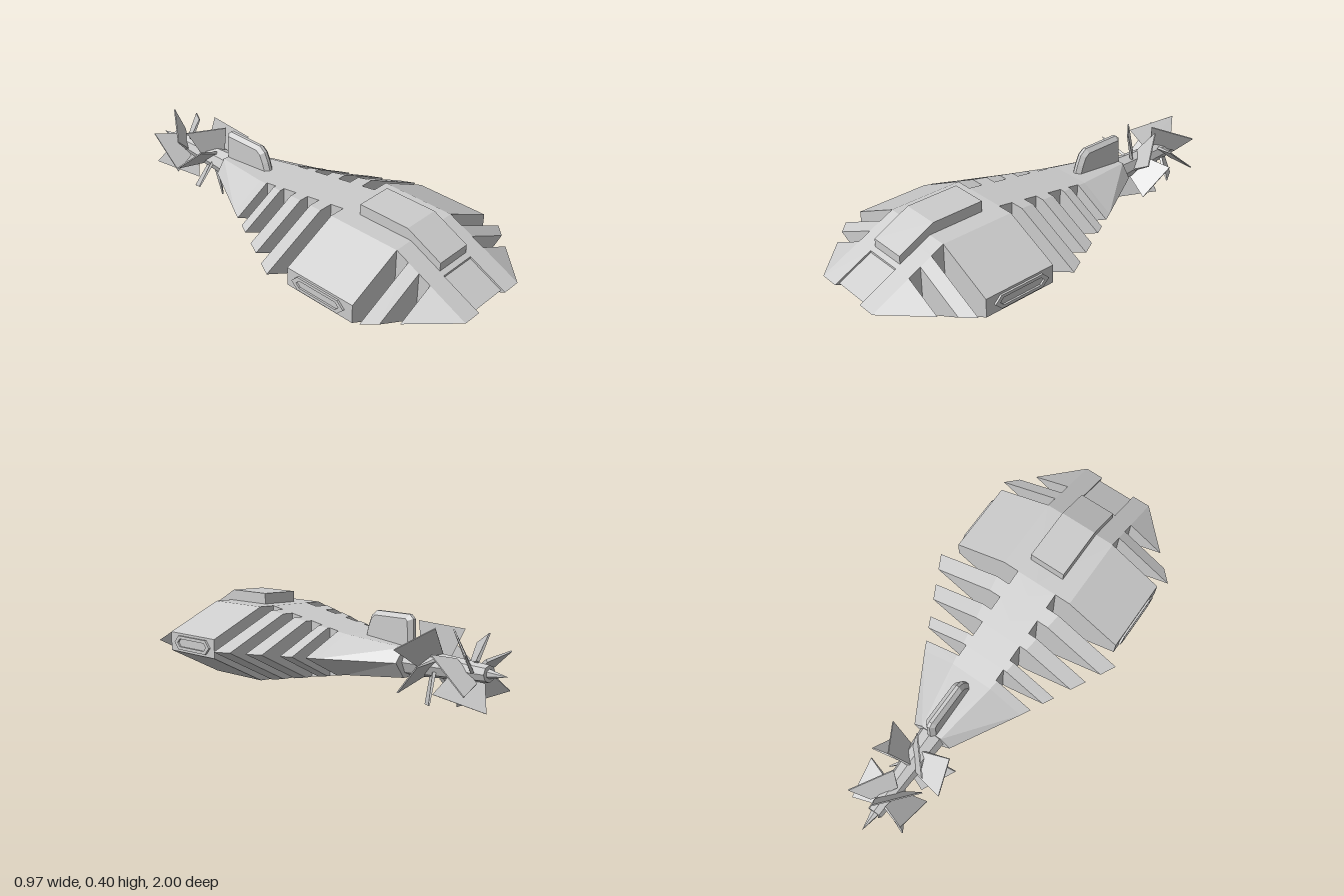
import * as THREE from 'three';
import { toCreasedNormals } from 'three/addons/utils/BufferGeometryUtils.js';

const MID = 0.175;
const material = new THREE.MeshStandardMaterial({ color: 0xcccccc, flatShading: true, side: THREE.DoubleSide });
const smoothMaterial = new THREE.MeshStandardMaterial({ color: 0xcccccc, side: THREE.DoubleSide });

// Hull stations: z, half width at the chine, half width of the flat deck, deck height, keel height
const STATIONS = [
  [-0.5, 0.095, 0.05, 0.235, 0.11],
  [-0.2, 0.262, 0.1, 0.265, 0.087],
  [0.3, 0.52, 0.175, 0.345, 0.003],
  [0.65, 0.52, 0.175, 0.345, 0.003],
  [1.0, 0.175, 0.175, MID, MID],
];

function station(z) {
  let i = 0;
  while (i < STATIONS.length - 2 && z > STATIONS[i + 1][0]) i++;
  const a = STATIONS[i], b = STATIONS[i + 1];
  const t = (z - a[0]) / (b[0] - a[0]);
  return a.map((v, k) => v + (b[k] - v) * t);
}

// One half of the hexagonal section, kept between x = inner and x = outer
function halfSection(z, inner, outer) {
  const [, chine, deck, top, keel] = station(z);
  const c = Math.min(chine, outer), f = Math.min(deck, c);
  const k = c <= deck ? 1 : (chine - c) / (chine - deck);
  return [[inner, top], [f, top], [c, MID + (top - MID) * k],
    [c, MID + (keel - MID) * k], [f, keel], [inner, keel]].map(([x, y]) => new THREE.Vector3(x, y, z));
}

// Slab of hull between two stations, on one side (+1 or -1)
function slabGeometry(z0, z1, inner, outer, side) {
  const a = halfSection(z0, inner, outer), b = halfSection(z1, inner, outer);
  const out = [];
  const tri = (p, q, r) => {
    for (const v of side > 0 ? [p, q, r] : [p, r, q]) out.push(v.x * side, v.y, v.z);
  };
  const n = a.length;
  for (let i = 0; i < n; i++) {
    if (i === n - 1 && inner === 0) continue;
    const j = (i + 1) % n;
    tri(a[i], b[i], b[j]);
    tri(a[i], b[j], a[j]);
  }
  for (let i = 1; i < n - 1; i++) {
    tri(a[0], a[i], a[i + 1]);
    tri(b[0], b[i + 1], b[i]);
  }
  const g = new THREE.BufferGeometry();
  g.setAttribute('position', new THREE.Float32BufferAttribute(out, 3));
  g.computeVertexNormals();
  return g;
}

function add(parent, name, geometry, mat = material) {
  const mesh = new THREE.Mesh(geometry, mat);
  mesh.name = name;
  parent.add(mesh);
  return mesh;
}

// Extrudes a (z, y) outline across x, centred on x = 0
function acrossX(points, width, bevel = 0) {
  const shape = new THREE.Shape(points.map(([z, y]) => new THREE.Vector2(-z, y)));
  const g = new THREE.ExtrudeGeometry(shape, {
    depth: width, bevelEnabled: bevel > 0, bevelSize: bevel, bevelThickness: bevel, bevelOffset: -bevel, bevelSegments: 1,
  });
  g.translate(0, 0, -width / 2);
  g.rotateY(Math.PI / 2);
  return g;
}

// Flat blade, wider at the tip, pitched about its own length
function bladeGeometry(root, tip, rootChord, tipChord, pitch) {
  const g = new THREE.BoxGeometry(0.014, tip - root, 1);
  const p = g.attributes.position;
  for (let i = 0; i < p.count; i++) {
    const outer = p.getY(i) > 0;
    p.setZ(i, p.getZ(i) * (outer ? tipChord : rootChord));
    if (outer) p.setX(i, p.getX(i) * 0.4);
  }
  g.translate(0, (root + tip) / 2, 0);
  g.rotateY(pitch);
  return g;
}

function rotor(name, z, tip, chord, pitch, phase) {
  const group = new THREE.Group();
  group.name = name;
  group.position.set(0, MID, z);
  const blade = bladeGeometry(0.03, tip, chord * 0.6, chord, pitch);
  for (let i = 0; i < 6; i++) {
    add(group, 'blade', blade).rotation.z = phase + i * Math.PI / 3;
  }
  return group;
}

export function createModel() {
  const model = new THREE.Group();
  model.name = 'submarine';

  // Hull: full ribs alternating with slots cut in to a narrow core
  const FULL = 9, FRONT = 0.175, REAR = 0.1;
  const slabs = [
    ['tail', -0.5, -0.2, FULL], ['tailShoulder', -0.2, -0.155, FULL],
    ['slotCore', -0.155, -0.1, REAR], ['rib', -0.1, -0.05, FULL],
    ['slotCore', -0.05, 0.025, REAR], ['rib', 0.025, 0.093, FULL],
    ['slotCore', 0.093, 0.16, REAR], ['rib', 0.16, 0.23, FULL],
    ['slotCore', 0.23, 0.3, REAR], ['midBody', 0.3, 0.65, 0.433],
    ['slotCore', 0.65, 0.71, FRONT], ['rib', 0.71, 0.765, FULL],
    ['slotCore', 0.765, 0.822, FRONT], ['nose', 0.822, 1, FULL],
  ];
  const hull = new THREE.Group();
  hull.name = 'hull';
  model.add(hull);
  for (const [name, z0, z1, outer] of slabs) {
    for (const side of [1, -1]) {
      const inner = name === 'nose' ? 0.088 : 0;
      add(hull, name, toCreasedNormals(slabGeometry(z0, z1, inner, outer, side), 0.3), smoothMaterial);
    }
  }

  // Sunken wedge between the two halves of the nose
  add(model, 'nosePanel', acrossX([[0.82, 0.253], [0.98, MID], [0.82, 0.097]], 0.176));

  // Raised hatch on the deck
  add(model, 'topHatch', acrossX([[0.8, 0.25], [0.8, 0.31], [0.63, 0.395], [0.38, 0.395], [0.38, 0.32], [0.65, 0.32]], 0.172));

  // Side ports: a long hexagonal rim around a sunken pane
  const hexagon = (l, h, Type) => new Type([[-l, 0], [-l + h, h], [l - h, h], [l, 0], [l - h, -h], [-l + h, -h]]
    .map(([x, y]) => new THREE.Vector2(x, y)));
  const rimShape = hexagon(0.14, 0.032, THREE.Shape);
  rimShape.holes.push(hexagon(0.115, 0.018, THREE.Path));
  const rim = new THREE.ExtrudeGeometry(rimShape, { depth: 0.012, bevelEnabled: false });
  const pane = new THREE.ExtrudeGeometry(hexagon(0.118, 0.02, THREE.Shape), { depth: 0.004, bevelEnabled: false });
  for (const side of [1, -1]) {
    const port = new THREE.Group();
    port.name = side > 0 ? 'leftPort' : 'rightPort';
    port.position.set(side * 0.43, MID, 0.47);
    port.rotation.y = side * Math.PI / 2;
    add(port, 'portRim', rim);
    add(port, 'portPane', pane);
    model.add(port);
  }

  // Dorsal fin with chamfered faces
  add(model, 'dorsalFin', acrossX([[-0.23, 0.25], [-0.245, 0.3], [-0.265, 0.345], [-0.295, 0.368],
    [-0.49, 0.368], [-0.51, 0.35], [-0.515, 0.22], [-0.25, 0.22]], 0.014, 0.018));

  // Propeller shaft, two counter-rotating rotors and the tail spike
  const shaft = new THREE.CylinderGeometry(0.062, 0.035, 0.42, 8);
  shaft.rotateX(Math.PI / 2);
  add(model, 'shaft', shaft).position.set(0, MID, -0.7);
  model.add(rotor('frontRotor', -0.625, 0.165, 0.19, 0.75, 0.25));
  model.add(rotor('rearRotor', -0.82, 0.14, 0.22, -0.7, 0.5));
  const spike = new THREE.ConeGeometry(0.022, 0.1, 6);
  spike.rotateX(-Math.PI / 2);
  add(model, 'tailSpike', spike).position.set(0, MID, -0.95);

  return model;
}
